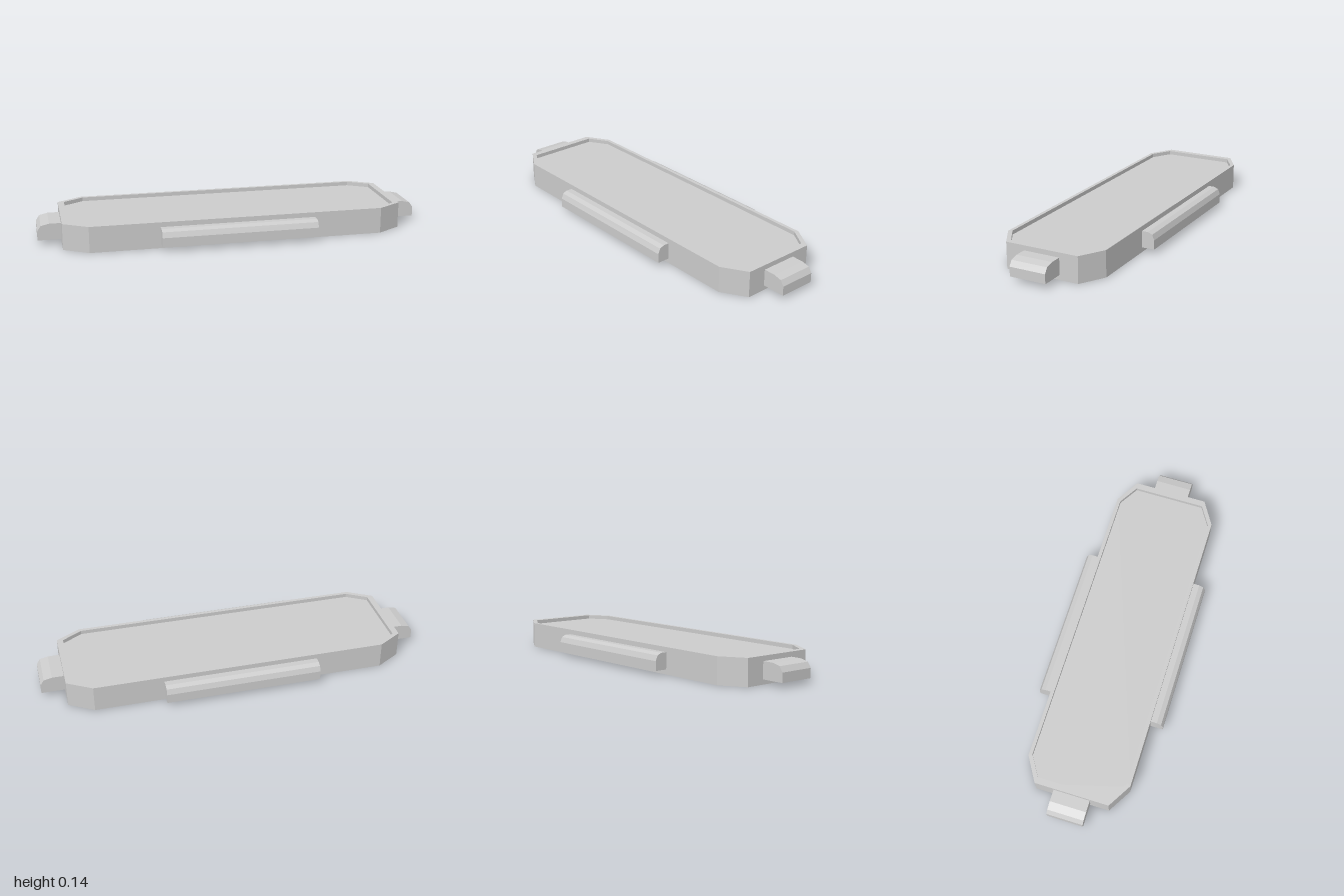
import * as THREE from 'three';

const HEIGHT = 0.135;
const RECESS = 0.02;

// Corner points of a rectangle with chamfered corners
function octagon(x, z, cornerX, cornerZ) {
  return [
    [x, -cornerZ], [x, cornerZ], [cornerX, z], [-cornerX, z],
    [-x, cornerZ], [-x, -cornerZ], [-cornerX, -z], [cornerX, -z],
  ].map(([a, b]) => new THREE.Vector2(a, b));
}

// Flat slab standing on height y
function slab(shape, y, depth) {
  return new THREE.ExtrudeGeometry(shape, { depth, bevelEnabled: false })
    .rotateX(-Math.PI / 2)
    .translate(0, y, 0);
}

// Lug with a rounded upper outer edge; points run outwards (+x) and up
function lugGeometry(points, width) {
  const shape = new THREE.Shape(points.map(([a, b]) => new THREE.Vector2(a, b)));
  return new THREE.ExtrudeGeometry(shape, { depth: width, bevelEnabled: false })
    .translate(0, 0, -width / 2);
}

export function createModel() {
  const group = new THREE.Group();
  const material = new THREE.MeshStandardMaterial({ color: 0xcccccc, flatShading: true });
  const add = (name, geometry, turn = 0) => {
    const mesh = new THREE.Mesh(geometry, material);
    mesh.name = name;
    mesh.rotation.y = turn;
    group.add(mesh);
  };

  // Tray: solid base with a thin raised rim around the recessed top
  const outer = octagon(0.88, 0.268, 0.755, 0.193);
  const inner = octagon(0.848, 0.25, 0.745, 0.187);
  add('trayBase', slab(new THREE.Shape(outer), 0, HEIGHT - RECESS));
  const rim = new THREE.Shape(outer);
  rim.holes.push(new THREE.Path(inner));
  add('trayRim', slab(rim, HEIGHT - RECESS, RECESS));

  // Short lugs at both ends
  const endLug = lugGeometry(
    [[0.875, 0.025], [1, 0.025], [1, 0.073], [0.982, 0.1], [0.94, 0.11], [0.875, 0.11]], 0.19);
  add('leftEndLug', endLug);
  add('rightEndLug', endLug, Math.PI);

  // Long grips on the front and back
  const sideGrip = lugGeometry(
    [[0.263, 0.025], [0.334, 0.025], [0.334, 0.073], [0.323, 0.1], [0.3, 0.11], [0.263, 0.11]], 0.8);
  add('frontGrip', sideGrip, -Math.PI / 2);
  add('backGrip', sideGrip, Math.PI / 2);

  return group;
}
